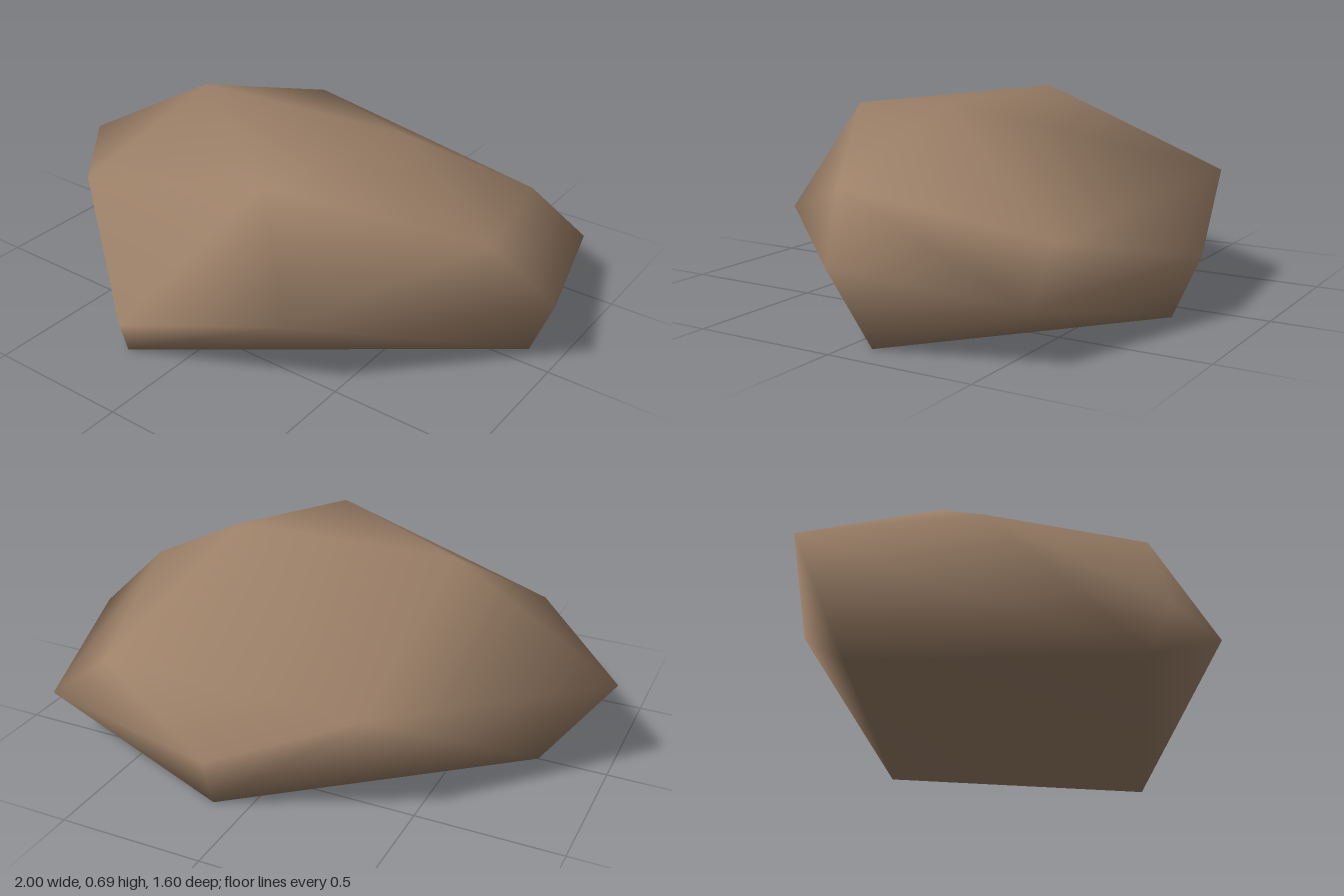
import * as THREE from 'three';
import { ConvexGeometry } from 'three/addons/geometries/ConvexGeometry.js';
import { mergeVertices } from 'three/addons/utils/BufferGeometryUtils.js';

// Corner rings of the boulder, from the ground up
const base = [[-0.19, 0, 0.73], [0.89, 0, -0.08], [0.12, 0, -0.71], [-0.76, 0, 0]];
const girth = [
  [-1, 0.335, 0.02], [-0.39, 0.41, -0.67], [0.1, 0.21, -0.8], [0.83, 0.18, -0.59],
  [1, 0.26, 0], [0.4, 0.28, 0.63], [-0.15, 0.155, 0.8], [-0.62, 0.4, 0.45],
];
const shoulder = [[0.81, 0.46, 0.1], [0.63, 0.33, -0.55]];
const crown = [[0.39, 0.685, -0.02], [-0.41, 0.675, 0.04], [0.2, 0.64, 0.48]];

export function createModel() {
  const stone = new THREE.MeshStandardMaterial({ color: 0x9c8068 });
  stone.name = 'brownStone';

  // Faceted hull, welded so that its normals run smoothly over the edges
  const corners = [...base, ...girth, ...shoulder, ...crown].map((p) => new THREE.Vector3(...p));
  const hull = new ConvexGeometry(corners);
  hull.deleteAttribute('normal');
  const geometry = mergeVertices(hull, 1e-4);
  geometry.computeVertexNormals();

  const boulder = new THREE.Mesh(geometry, stone);
  boulder.name = 'boulder';
  const group = new THREE.Group();
  group.name = 'rock';
  group.add(boulder);
  return group;
}
